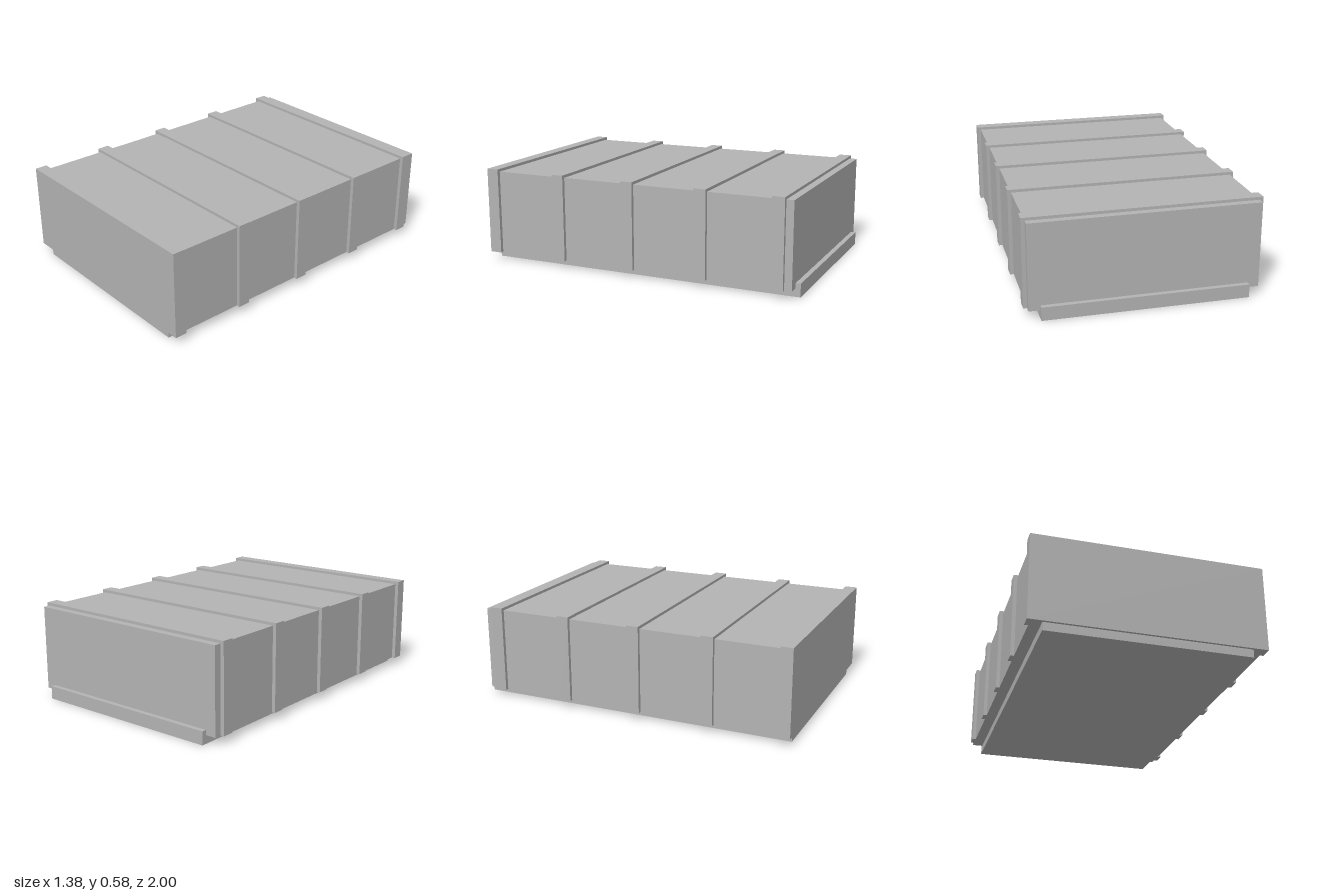
import * as THREE from 'three';

export function createModel() {
  const model = new THREE.Group();
  const grey = new THREE.MeshStandardMaterial({ color: 0xb3b3b3 });
  grey.name = 'plain grey';

  // Box given by its half width and its y and z ranges
  function addBox(name, halfWidth, y0, y1, z0, z1) {
    const mesh = new THREE.Mesh(new THREE.BoxGeometry(2 * halfWidth, y1 - y0, z1 - z0), grey);
    mesh.position.set(0, (y0 + y1) / 2, (z0 + z1) / 2);
    mesh.name = name;
    model.add(mesh);
  }

  // Main container body
  addBox('body', 0.67, 0.05, 0.563, -0.97, 0.98);

  // Inset base slab with a raised lip at the back
  addBox('base', 0.605, 0, 0.05, -1, 0.985);
  addBox('backLip', 0.605, 0.05, 0.08, -1, -0.97);

  // Evenly spaced ribs wrapping the sides and roof
  for (let i = 0; i < 5; i++) {
    const z = 0.9625 - i * 0.4625;
    addBox('rib' + (i + 1), 0.692, 0.05, 0.58, z - 0.0375, z + 0.0375);
  }

  return model;
}
